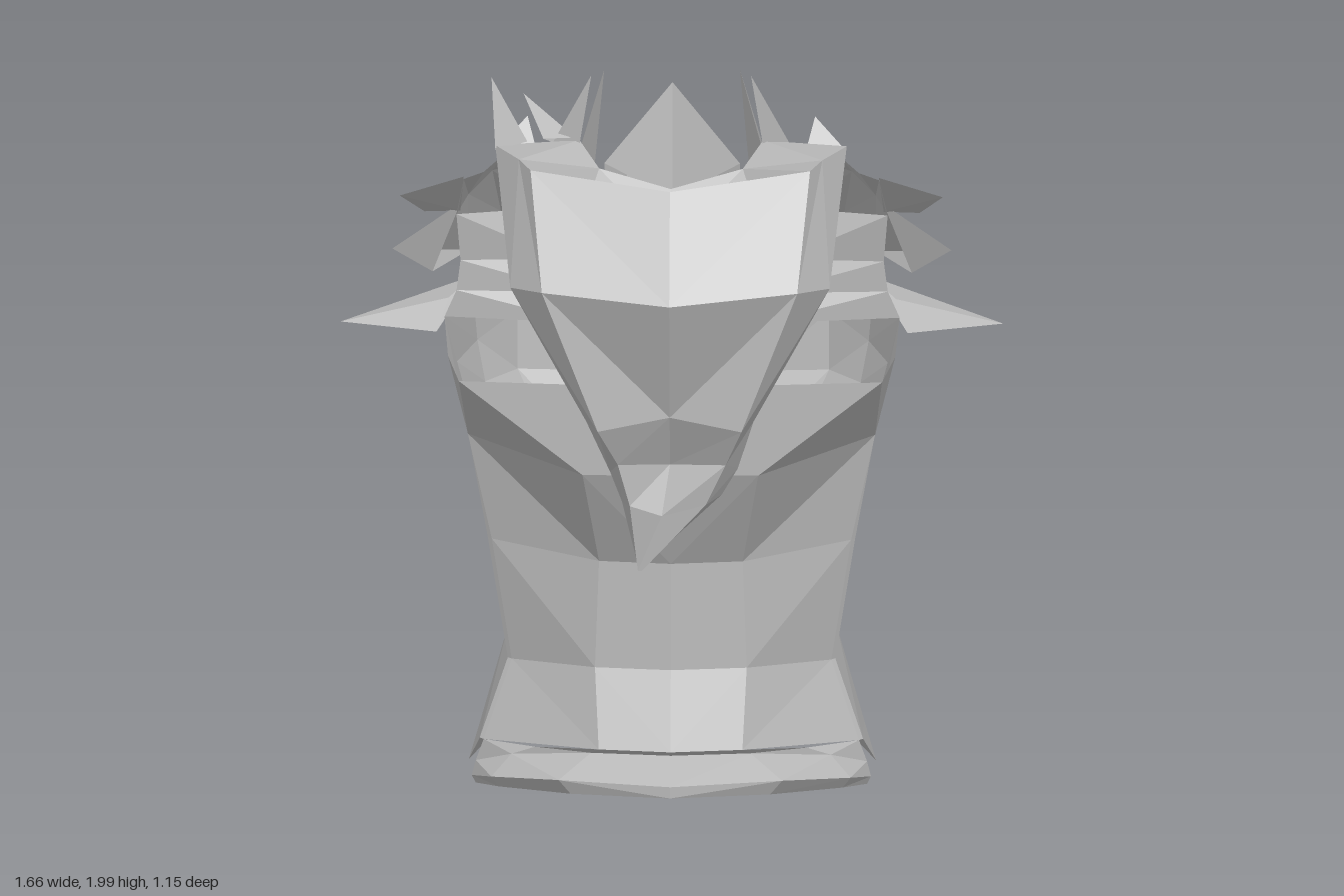
import * as THREE from 'three';

const cloth = new THREE.MeshStandardMaterial({ color: 0xb8b8b8, flatShading: true, side: THREE.DoubleSide });
cloth.name = 'grey cloth';

// Flat-shaded mesh from a list of triangles (each three points)
function facets(name, triangles) {
  const geometry = new THREE.BufferGeometry();
  geometry.setAttribute('position', new THREE.Float32BufferAttribute(triangles.flat(2), 3));
  geometry.computeVertexNormals();
  const mesh = new THREE.Mesh(geometry, cloth);
  mesh.name = name;
  return mesh;
}

// Skin joining neighbouring cross-sections
function skin(rows) {
  const out = [];
  for (let i = 0; i < rows.length - 1; i++) {
    for (let j = 0; j < rows[i].length - 1; j++) {
      const a = rows[i][j], b = rows[i][j + 1], c = rows[i + 1][j], d = rows[i + 1][j + 1];
      out.push([a, c, b], [b, c, d]);
    }
  }
  return out;
}

// Three-sided thorn standing on a triangle
const thorn = (a, b, c, tip) => [[a, b, tip], [b, c, tip], [c, a, tip]];

// Add the mirrored half, with its corners in reverse order
const flip = ([x, y, z]) => [-x, y, z];
const mirrored = (tris) => [...tris, ...tris.map(([a, b, c]) => [flip(a), flip(c), flip(b)])];

export function createModel() {
  const model = new THREE.Group();
  model.name = 'torsoGarment';

  // Back, from shoulder to hem; each row runs from the neck or spine to the side
  const shoulder = [
    [[0.30, 1.78, 0.04], [0.36, 1.80, 0.04], [0.42, 1.77, 0.04], [0.47, 1.72, 0.03], [0.52, 1.69, 0.00]],
    [[0.28, 1.63, -0.18], [0.37, 1.67, -0.20], [0.45, 1.64, -0.20], [0.51, 1.58, -0.19], [0.54, 1.53, -0.18]],
    [[0.22, 1.47, -0.33], [0.33, 1.50, -0.34], [0.43, 1.48, -0.34], [0.51, 1.42, -0.30], [0.53, 1.40, -0.20]],
    [[0.12, 1.36, -0.43], [0.27, 1.38, -0.45], [0.40, 1.37, -0.43], [0.50, 1.32, -0.37], [0.54, 1.32, -0.20]],
    [[0, 1.31, -0.46], [0.22, 1.26, -0.53], [0.39, 1.25, -0.50], [0.50, 1.22, -0.43], [0.57, 1.25, -0.20]],
  ];
  const lowerBack = [
    shoulder[4],
    [[0, 1.15, -0.50], [0.22, 1.14, -0.575], [0.39, 1.14, -0.55], [0.49, 1.10, -0.44], [0.54, 1.10, -0.28]],
    [[0, 1.03, -0.51], [0.22, 0.97, -0.575], [0.39, 0.99, -0.53], [0.47, 1.00, -0.41], [0.51, 0.98, -0.30]],
    [[0, 0.92, -0.47], [0.20, 0.80, -0.49], [0.30, 0.82, -0.43], [0.39, 0.82, -0.36], [0.46, 0.82, -0.30]],
    [[0, 0.40, -0.48], [0.18, 0.42, -0.45], [0.27, 0.42, -0.39], [0.35, 0.41, -0.34], [0.41, 0.40, -0.29]],
    [[0, 0.00, -0.44], [0.23, 0.04, -0.42], [0.32, 0.07, -0.38], [0.40, 0.11, -0.34], [0.48, 0.14, -0.30]],
  ];
  model.add(facets('shoulderBlades', mirrored(skin(shoulder))));
  model.add(facets('lowerBack', mirrored(skin(lowerBack))));

  // Chest, belly and flanks; each row runs from the centre front to the back seam
  const seam = lowerBack.map((row) => row[4]);
  const front = [
    [[0, 1.22, 0.28], [0.20, 1.24, 0.27], [0.53, 1.25, 0.27], [0.56, 1.20, -0.05], seam[0]],
    [[0, 1.00, 0.27], [0.22, 1.00, 0.27], [0.51, 1.00, -0.03], [0.51, 1.00, -0.04], seam[2]],
    [[0, 0.72, 0.15], [0.18, 0.72, 0.13], [0.45, 0.72, -0.03], [0.46, 0.72, -0.04], seam[3]],
    [[0, 0.44, 0.16], [0.19, 0.44, 0.14], [0.40, 0.40, -0.03], [0.41, 0.40, -0.04], seam[4]],
    [[0, 0.25, 0.24], [0.18, 0.25, 0.22], [0.47, 0.20, 0.01], [0.48, 0.20, 0.00], seam[5]],
  ];
  model.add(facets('front', mirrored([...skin(front), [seam[0], seam[1], seam[2]]])));

  // Folded-in cloth behind each armhole
  model.add(facets('armholeFacing', mirrored(skin([
    [[0.36, 1.50, -0.30], [0.28, 1.38, -0.27], [0.24, 1.30, -0.24], [0.22, 1.23, -0.21]],
    shoulder.slice(1).map((row) => row[4]),
  ]))));

  // Neck trim and the collar that leans inward from it
  const rim = shoulder.map((row) => row[0]);
  const trim = [[0.27, 1.77, 0.04], [0.25, 1.62, -0.17], [0.195, 1.46, -0.31], [0.11, 1.35, -0.40], [0, 1.30, -0.43]];
  const lip = [[0.22, 1.74, 0.04], [0.20, 1.62, -0.10], [0.17, 1.50, -0.21], [0.08, 1.52, -0.23], [0, 1.53, -0.25]];
  model.add(facets('neckTrim', mirrored(skin([trim, rim]))));
  model.add(facets('innerCollar', mirrored(skin([lip, trim]))));

  // Torn points around the collar
  model.add(facets('collarPoints', mirrored([
    ...thorn([0.23, 1.80, 0.05], [0.30, 1.80, 0.05], [0.27, 1.78, 0.00], [0.20, 1.99, 0.06]),
    ...thorn([0.23, 1.78, 0.04], [0.25, 1.64, -0.18], [0.20, 1.62, -0.10], [0.17, 1.91, -0.20]),
    ...thorn([0.17, 1.50, -0.21], [0.17, 1.66, -0.20], [0, 1.55, -0.25], [0, 1.84, -0.30]),
    ...thorn([0.34, 1.80, 0.06], [0.43, 1.80, 0.06], [0.38, 1.78, 0.01], [0.36, 1.86, 0.00]),
  ])));
  model.add(facets('rightScarfPoints', [
    ...thorn([-0.44, 1.80, 0.09], [-0.36, 1.82, 0.08], [-0.40, 1.79, 0.02], [-0.45, 1.98, 0.05]),
    ...thorn([-0.32, 1.82, 0.06], [-0.24, 1.82, 0.05], [-0.28, 1.79, 0.02], [-0.37, 1.93, 0.03]),
  ]));

  // Ragged spikes on the shoulders and behind the armholes
  model.add(facets('shoulderSpikes', mirrored([
    ...thorn([0.52, 1.70, 0.01], [0.62, 1.53, -0.20], [0.53, 1.54, -0.18], [0.68, 1.66, 0.04]),
    ...thorn([0.53, 1.56, -0.18], [0.60, 1.37, -0.20], [0.51, 1.38, -0.33], [0.70, 1.46, -0.12]),
    ...thorn([0.56, 1.30, -0.20], [0.59, 1.22, -0.17], [0.50, 1.30, -0.36], [0.83, 1.25, -0.16]),
  ])));

  // Scarf roll around the front of the neck, open along its top
  const rollTop = [[0, 1.80, 0.39], [0.35, 1.82, 0.29], [0.38, 1.82, 0.21], [0.44, 1.81, 0.08]];
  const rollFold = [[0, 1.56, 0.575], [0.32, 1.57, 0.50], [0.40, 1.54, 0.38], [0.39, 1.76, 0.07]];
  model.add(facets('scarfRoll', mirrored(skin([rollTop, rollFold]))));

  // Inner layer of the scarf against the neck, and its side folds
  model.add(facets('scarfLining', mirrored([
    ...skin([
      [[0, 1.72, 0.15], [0.18, 1.76, 0.11], [0.23, 1.81, 0.04]],
      [[0, 1.62, 0.27], [0.22, 1.68, 0.25], [0.38, 1.78, 0.07]],
      [[0, 1.54, 0.35], [0.30, 1.54, 0.36], rollFold[2]],
    ]),
    ...skin([
      [[0.22, 1.68, 0.25], [0.18, 1.76, 0.11], [0.23, 1.81, 0.04]],
      rollTop.slice(1),
    ]),
  ])));

  // Scarf front, folding to a V
  const fold = [[0, 1.22, 0.45], [0.18, 1.20, 0.50], [0.21, 1.20, 0.42], [0.20, 1.23, 0.26]];
  model.add(facets('scarfDrape', mirrored(skin([
    [...rollFold.slice(0, 3), [0.37, 1.52, 0.34]],
    fold,
  ]))));

  // Off-centre hanging end
  model.add(facets('scarfEnd', skin([
    [...fold.slice(1).reverse().map(flip), ...fold],
    [[-0.14, 1.02, 0.28], [-0.15, 1.05, 0.38], [-0.13, 1.09, 0.44], [0, 1.07, 0.38],
      [0.14, 1.09, 0.44], [0.17, 1.06, 0.38], [0.15, 1.04, 0.28]],
    [[-0.11, 0.95, 0.29], [-0.12, 0.97, 0.38], [-0.10, 0.98, 0.44], [-0.02, 0.95, 0.43],
      [0.09, 0.98, 0.43], [0.13, 0.99, 0.38], [0.11, 0.98, 0.30]],
    [[-0.08, 0.80, 0.34], [-0.08, 0.80, 0.38], [-0.08, 0.80, 0.42], [-0.07, 0.80, 0.42],
      [-0.06, 0.82, 0.42], [-0.05, 0.83, 0.39], [-0.06, 0.82, 0.35]],
  ])));

  // Loose hem band across the front
  model.add(facets('hemBand', mirrored(skin([
    [[0, 0.25, 0.24], [0.18, 0.25, 0.22], [0.34, 0.22, 0.12], [0.47, 0.20, 0.01]],
    [[0, 0.23, 0.21], [0.20, 0.23, 0.19], [0.40, 0.19, 0.09], [0.49, 0.14, 0.00]],
    [[0, 0.19, 0.33], [0.28, 0.19, 0.28], [0.45, 0.14, 0.12], [0.50, 0.10, 0.00]],
    [[0, 0.16, 0.33], [0.25, 0.15, 0.27], [0.43, 0.11, 0.11], [0.49, 0.08, 0.00]],
  ]))));

  // Pointed flaps at the hips
  model.add(facets('hipFlaps', mirrored([
    [[0.48, 0.20, 0.00], [0.51, 0.04, -0.28], [0.48, 0.14, -0.30]],
    [[0.48, 0.20, 0.00], [0.45, 0.12, -0.24], [0.51, 0.04, -0.28]],
  ])));

  return model;
}
